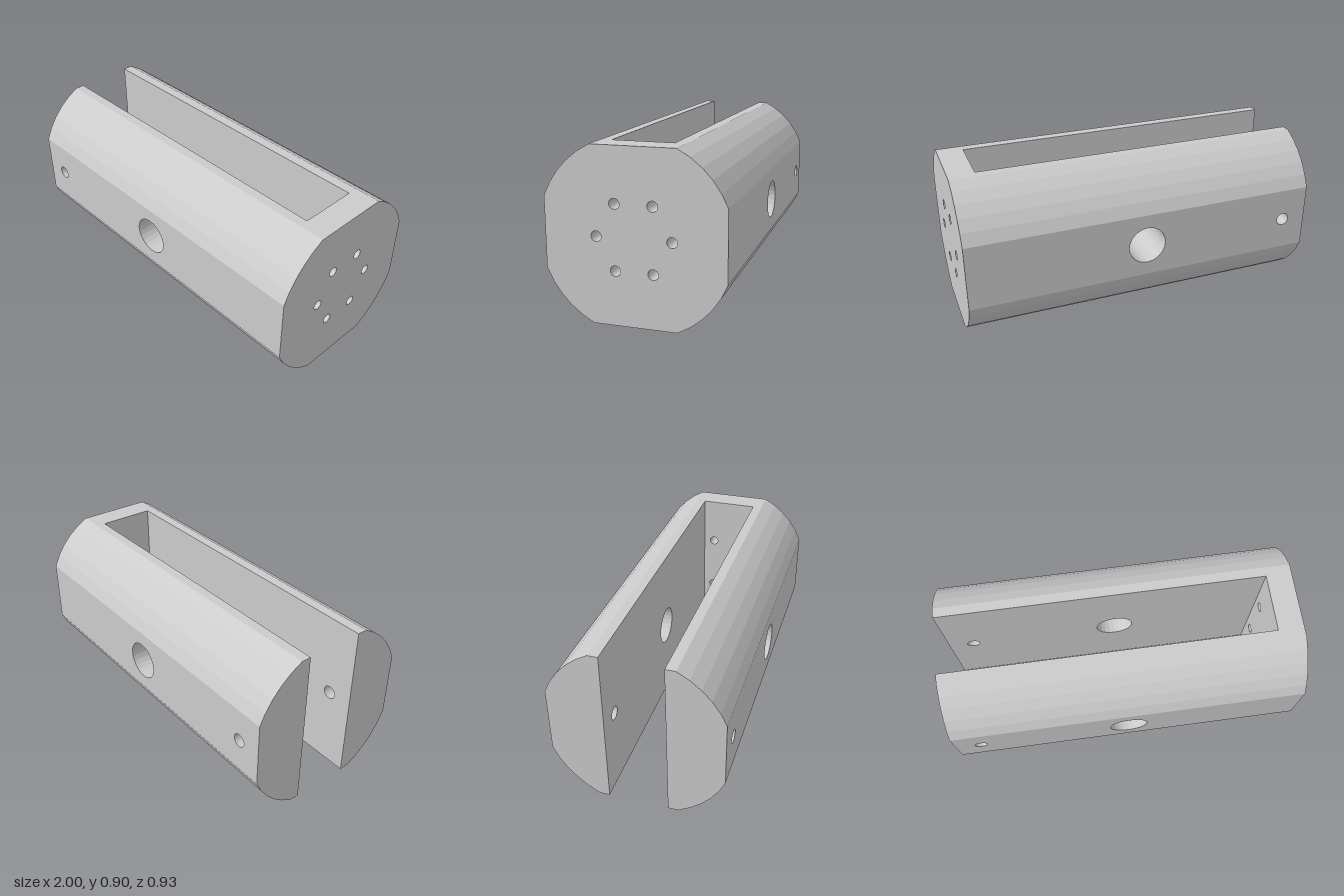
import * as THREE from 'three';

const R = 0.5, CY = 0.45, H = 0.9;         // round stock radius, axis height, milled height
const FLAT = 0.465, SLOT = 0.163, WALL = 0.855; // side flat, half slot width, slot end
const A = Math.acos(FLAT / R), B = Math.asin(CY / R); // arc limits between the flats
const TOP = R * Math.cos(B), RISE = R * Math.sin(A);
const ARC = 5, HOLE = 24;
const CROSS = [[0, CY, 0.107], [-0.857, CY, 0.037]];  // cross bores: x, y, radius
const PIN_R = 0.027, PIN_DEPTH = 1 - WALL;
const PINS = Array.from({ length: 6 }, (_, i) => {
  const a = (i * Math.PI) / 3;
  return [0.194 * Math.cos(a), CY + 0.194 * Math.sin(a), PIN_R];
});

export function createModel() {
  const group = new THREE.Group();
  const material = new THREE.MeshStandardMaterial({ color: 0xcccccc, flatShading: true });

  const add = (name, geometry, position = [0, 0, 0], rotation = [0, 0, 0]) => {
    const mesh = new THREE.Mesh(geometry, material);
    mesh.name = name;
    mesh.position.set(...position);
    mesh.rotation.set(...rotation);
    group.add(mesh);
  };

  // Flat face with round holes
  const panel = (points, holes = []) => {
    const shape = new THREE.Shape(points.map(([x, y]) => new THREE.Vector2(x, y)));
    for (const [x, y, r] of holes) {
      shape.holes.push(new THREE.Path().absarc(x, y, r, 0, Math.PI * 2, true));
    }
    return new THREE.ShapeGeometry(shape, HOLE / 2);
  };
  const rect = (x0, x1, y0, y1) => [[x0, y0], [x1, y0], [x1, y1], [x0, y1]];

  // Inward-facing bore; closed at its lower end when blind
  const bore = (r, length, blind = false) => {
    const points = [new THREE.Vector2(r, length / 2), new THREE.Vector2(r, -length / 2)];
    if (blind) points.push(new THREE.Vector2(0, -length / 2));
    return new THREE.LatheGeometry(points, HOLE);
  };

  // Outline of one side of the end profile, bottom to top
  const sideArc = (s) => {
    const points = [];
    for (const [from, to] of [[-B, -A], [A, B]]) {
      for (let i = 0; i <= ARC; i++) {
        const a = from + ((to - from) * i) / ARC;
        points.push([s * R * Math.cos(a), CY + R * Math.sin(a)]);
      }
    }
    return points;
  };

  // Rounded corners running the full length
  for (const start of [A, Math.PI - B, Math.PI + A, 2 * Math.PI - B]) {
    add('roundedCorner',
      new THREE.CylinderGeometry(R, R, 2, ARC, 1, true, start, B - A),
      [0, CY, 0], [0, 0, -Math.PI / 2]);
  }

  // Two cheeks beside the slot
  for (const s of [1, -1]) {
    const holes = (f) => CROSS.map(([x, y, r]) => [x * f, y, r]);
    const turn = (f) => [0, f > 0 ? 0 : Math.PI, 0];
    add('sideFlat', panel(rect(-1, 1, CY - RISE, CY + RISE), holes(s)), [0, 0, s * FLAT], turn(s));
    add('slotSide', panel(rect(s, -s * WALL, 0, H), holes(-s)), [0, 0, s * SLOT], turn(-s));
    add('cheekEnd', panel([[s * SLOT, 0], ...sideArc(s), [s * SLOT, H]]),
      [-1, 0, 0], [0, -Math.PI / 2, 0]);
    for (const [x, y, r] of CROSS) {
      add('crossBore', bore(r, FLAT - SLOT), [x, y, (s * (FLAT + SLOT)) / 2], [Math.PI / 2, 0, 0]);
    }
  }

  // U-shaped top and bottom flats around the open slot
  const u = [[-1, -TOP], [1, -TOP], [1, TOP], [-1, TOP],
    [-1, SLOT], [WALL, SLOT], [WALL, -SLOT], [-1, -SLOT]];
  add('topFlat', panel(u), [0, H, 0], [-Math.PI / 2, 0, 0]);
  add('bottomFlat', panel(u), [0, 0, 0], [Math.PI / 2, 0, 0]);

  // Closed end: outer face and slot end wall
  add('endFace', panel([...sideArc(1), ...sideArc(-1).reverse()], PINS),
    [1, 0, 0], [0, Math.PI / 2, 0]);
  add('slotEnd', panel(rect(-SLOT, SLOT, 0, H), PINS.filter(([z]) => Math.abs(z) < SLOT)),
    [WALL, 0, 0], [0, -Math.PI / 2, 0]);

  // Ring of pin holes; those in line with the cheeks are blind
  for (const [z, y, r] of PINS) {
    add('pinHole', bore(r, PIN_DEPTH, Math.abs(z) > SLOT),
      [1 - PIN_DEPTH / 2, y, z], [0, 0, -Math.PI / 2]);
  }

  return group;
}
